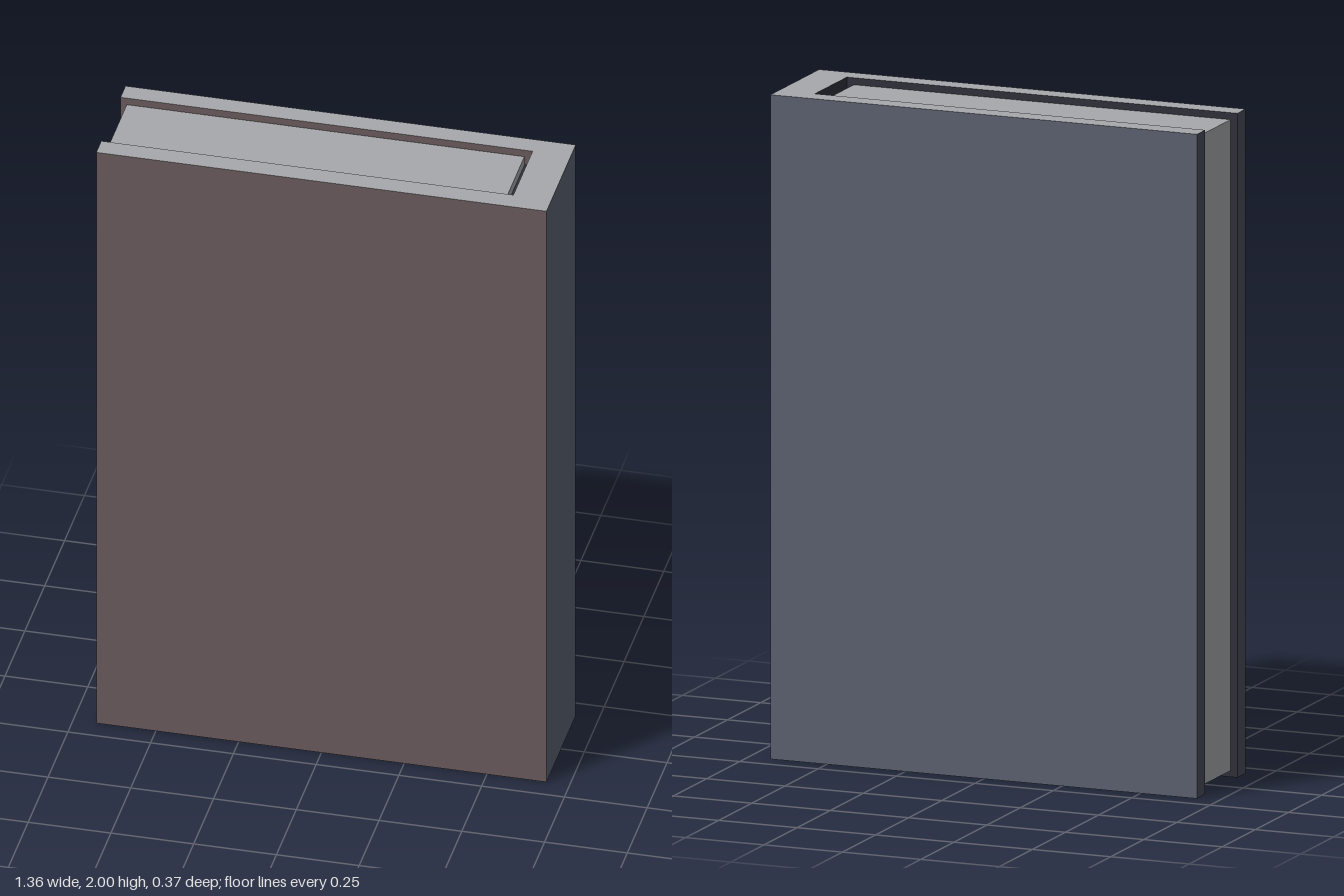
import * as THREE from 'three';

const paint = (name, color) => {
  const m = new THREE.MeshStandardMaterial({ color });
  m.name = name;
  return m;
};

export function createModel() {
  const brown = paint('brownCover', 0x6c5c5e);
  const slate = paint('slateCover', 0x5b6270);
  const dark = paint('darkLining', 0x30303c);
  const edge = paint('coverEdge', 0x484d58);
  const grey = paint('paperGrey', 0xa6a8ab);

  const book = new THREE.Group();
  book.name = 'book';

  // Box given by its two corners; materials in the order +x, -x, +y, -y, +z, -z
  const block = (name, [x0, y0, z0], [x1, y1, z1], materials) => {
    const mesh = new THREE.Mesh(new THREE.BoxGeometry(x1 - x0, y1 - y0, z1 - z0), materials);
    mesh.position.set((x0 + x1) / 2, (y0 + y1) / 2, (z0 + z1) / 2);
    mesh.name = name;
    book.add(mesh);
  };

  const W = 0.68, D = 0.184, inner = 0.121, spineX = 0.565;

  // Hard cover: two boards joined by a thick spine
  block('frontBoard', [-W, 0, inner], [spineX, 2, D], [dark, edge, grey, slate, brown, dark]);
  block('backBoard', [-W, 0, -D], [spineX, 2, -inner], [dark, edge, grey, slate, brown, slate]);
  block('spine', [spineX, 0, -D], [W, 2, D], [slate, dark, grey, slate, brown, slate]);

  // Page block, slightly recessed inside the cover
  block('pages', [-0.66, 0.02, -0.117], [0.541, 1.98, 0.117], grey);

  // Dark binding that closes the gap between the pages and the cover
  block('binding', [-0.64, 0.05, -inner], [spineX, 1.95, inner], dark);

  return book;
}
